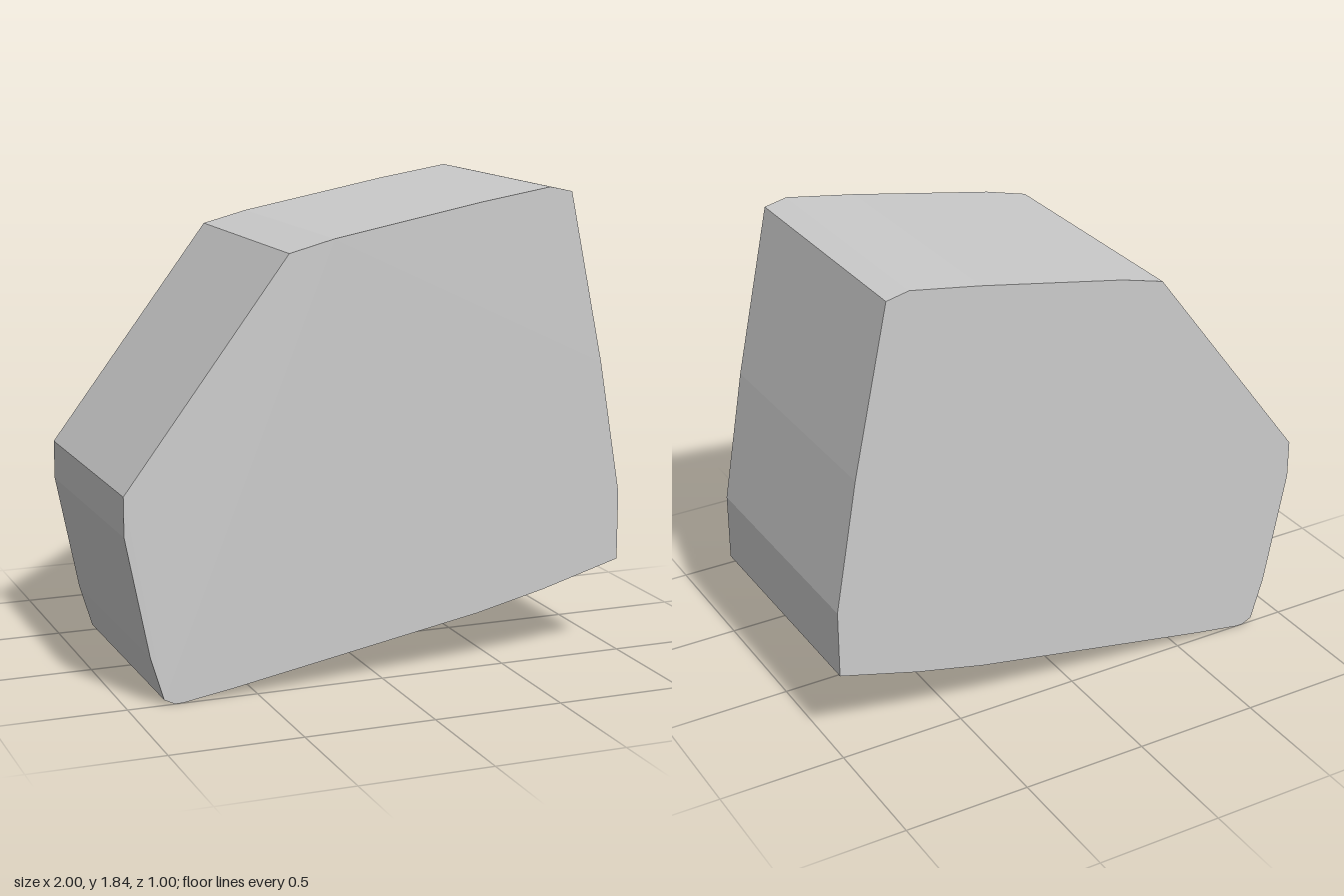
import * as THREE from 'three';

// Side outline, counter-clockwise from the lower left corner
const OUTLINE = [
  [-0.86, 0.025], [-0.82, 0.005], [-0.79, 0.005], [-0.6, 0.035], [0.4, 0.215], [0.68, 0.28],
  [1, 0.37], [1, 0.64], [0.91, 1.16], [0.77, 1.82], [0.68, 1.84], [0.4, 1.795],
  [-0.19, 1.685], [-0.365, 1.64], [-1, 0.8], [-1, 0.65], [-0.91, 0.19],
];

export function createModel() {
  const group = new THREE.Group();
  group.name = 'wedgeBlock';

  const shape = new THREE.Shape(OUTLINE.map(([x, y]) => new THREE.Vector2(x, y)));
  const geometry = new THREE.ExtrudeGeometry(shape, { depth: 1, bevelEnabled: false });

  // Flat back at z = -0.5, front face leaning very slightly back towards +x
  const pos = geometry.attributes.position;
  for (let i = 0; i < pos.count; i++) {
    const front = pos.getZ(i) > 0.5;
    pos.setZ(i, front ? 0.491 - 0.009 * pos.getX(i) - 0.001 * pos.getY(i) : -0.5);
  }
  geometry.computeVertexNormals();

  const block = new THREE.Mesh(
    geometry,
    new THREE.MeshStandardMaterial({ color: 0xcccccc, flatShading: true }),
  );
  block.name = 'block';
  group.add(block);
  return group;
}
